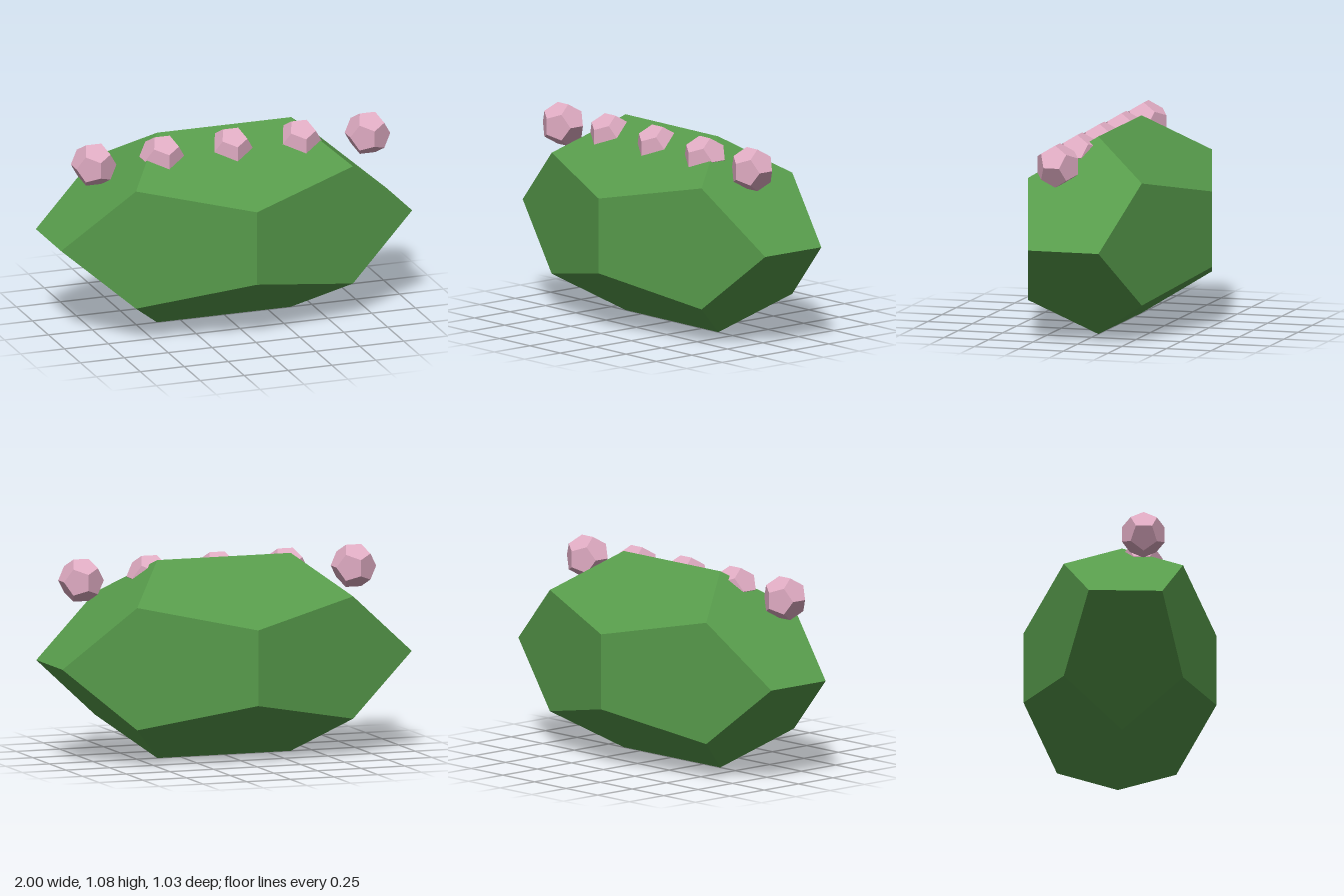
import * as THREE from 'three';

export function createModel() {
  const model = new THREE.Group();
  const leafGreen = new THREE.MeshStandardMaterial({ color: 0x579b4b, flatShading: true });
  leafGreen.name = 'leaf green';
  const blossomPink = new THREE.MeshStandardMaterial({ color: 0xdfabc2, flatShading: true });
  blossomPink.name = 'blossom pink';

  // Faceted bush, a dodecahedron stretched along x
  const bush = new THREE.Mesh(new THREE.DodecahedronGeometry(1), leafGreen);
  bush.name = 'bush';
  bush.scale.set(1.0705, 0.573, 0.553);
  bush.position.y = 0.535;
  model.add(bush);

  // Row of five blossoms along the top
  const blossoms = new THREE.Group();
  blossoms.name = 'blossoms';
  const blossomGeometry = new THREE.DodecahedronGeometry(0.122);
  for (let i = -2; i <= 2; i++) {
    const blossom = new THREE.Mesh(blossomGeometry, blossomPink);
    blossom.name = 'blossom';
    blossom.position.set(i * 0.39, 0.968, 0.102);
    blossoms.add(blossom);
  }
  model.add(blossoms);
  return model;
}
